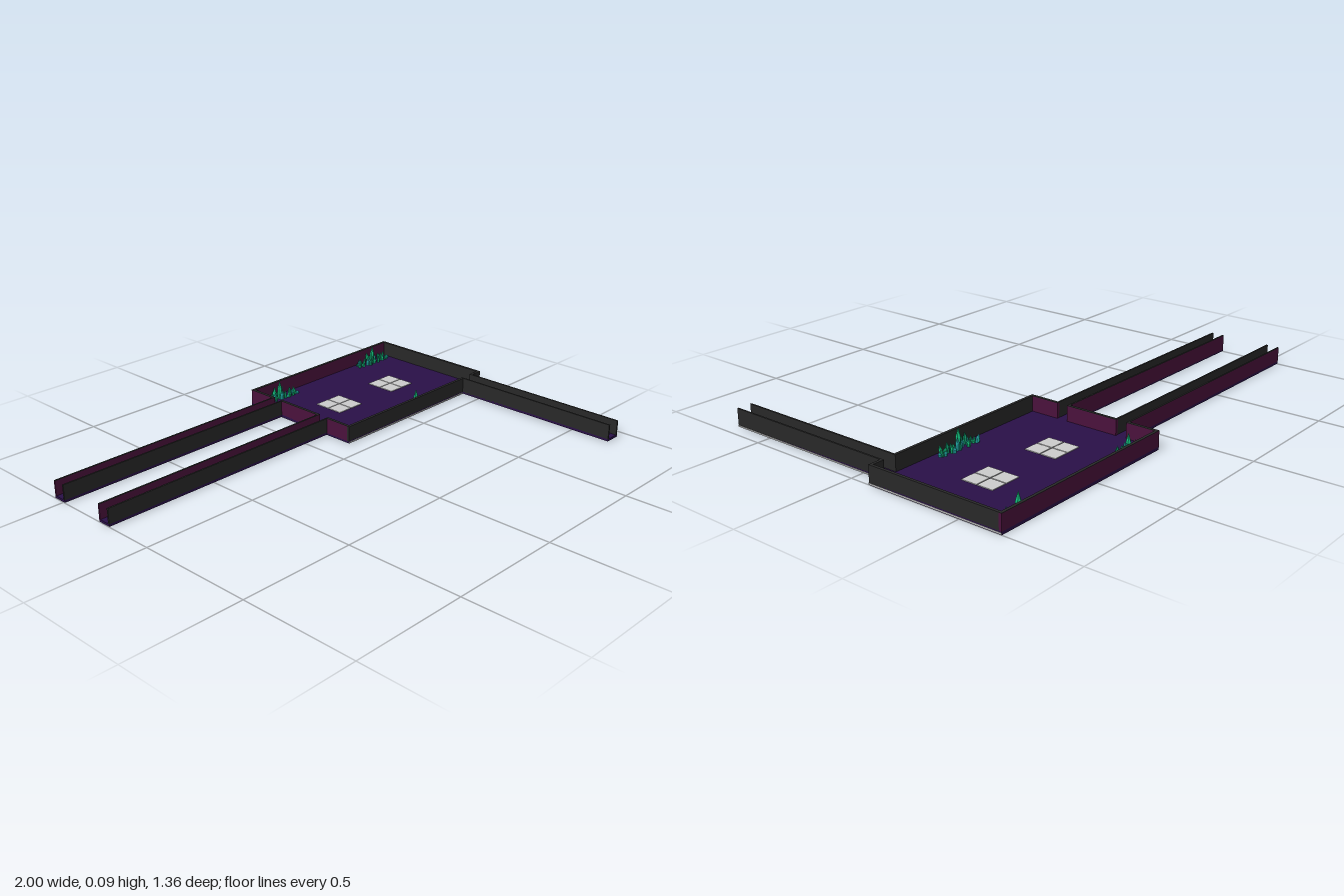
import * as THREE from 'three';

const mat = (color, extra = {}) => new THREE.MeshStandardMaterial({ color, ...extra });

export function createModel() {
  const root = new THREE.Group();
  const charcoal = mat(0x282828), plum = mat(0x4a123c), violet = mat(0x2a1048);
  const trim = mat(0xb4b4b4), grey = mat(0xcccccc);
  const H = 0.076, FLOOR = 0.012, T = 0.012;

  // box given by its extents on each axis
  function block(name, x0, x1, y0, y1, z0, z1, material, parent = root) {
    const mesh = new THREE.Mesh(new THREE.BoxGeometry(x1 - x0, y1 - y0, z1 - z0), material);
    mesh.position.set((x0 + x1) / 2, (y0 + y1) / 2, (z0 + z1) / 2);
    mesh.name = name;
    parent.add(mesh);
    return mesh;
  }
  // upright wall with a dark coping along its top
  function wall(name, x0, x1, z0, z1, material) {
    const g = new THREE.Group();
    g.name = name;
    block('wallPanel', x0, x1, 0.008, H - 0.002, z0, z1, material, g);
    block('wallCoping', x0, x1, H - 0.002, H, z0, z1, charcoal, g);
    root.add(g);
  }

  // main room
  const X0 = 0.125, X1 = 1, Z0 = -0.68, Z1 = -0.088;
  const sideHalls = [[-0.55, -0.49], [-0.275, -0.215]];
  const hall = [0.877, 0.945];
  block('roomFloor', X0, X1, 0, FLOOR, Z0, Z1, violet);
  wall('backWall', X0, X1, Z0, Z0 + T, plum);
  wall('leftWall', X1 - T, X1, Z0 + T, Z1, charcoal);
  wall('frontWall', X0, hall[0] + 0.007, Z1 - T, Z1, charcoal);
  wall('frontWallEnd', hall[1] - 0.007, X1 - T, Z1 - T, Z1, charcoal);
  // right wall is broken by the two hall doorways
  const cuts = [Z0 + T, ...sideHalls.flatMap(([a, b]) => [a + 0.007, b - 0.007]), Z1 - T];
  for (let i = 0; i < cuts.length; i += 2) wall('rightWall', X0, X0 + T, cuts[i], cuts[i + 1], plum);

  // two halls running to the right side
  for (const [a, b] of sideHalls) {
    block('sideHallFloor', -1, X0, 0.002, FLOOR, a, b, violet);
    wall('sideHallBackWall', -1, X0, a, a + 0.007, plum);
    wall('sideHallFrontWall', -1, X0, b - 0.007, b, charcoal);
  }

  // hall running to the front
  block('frontHallFloor', hall[0], hall[1], 0.002, FLOOR, Z1, 0.68, violet);
  wall('frontHallWall', hall[0], hall[0] + 0.007, Z1, 0.68, charcoal);
  wall('frontHallWall', hall[1] - 0.007, hall[1], Z1, 0.68, charcoal);

  // pale trim at the foot of the outer walls
  block('frontTrim', X0, X1, 0.002, 0.008, Z1, Z1 + 0.002, trim);
  block('leftTrim', X1 - 0.001, X1 + 0.001, 0.002, 0.008, Z0, Z1, trim);
  block('hallTrim', hall[1], hall[1] + 0.002, 0.002, 0.008, Z1, 0.68, trim);

  // floor panels, each of four tiles
  for (const cx of [0.382, 0.721]) {
    const panel = new THREE.Group();
    panel.name = 'floorPanel';
    for (const sx of [-1, 1]) for (const sz of [-1, 1]) {
      const x = cx + sx * 0.036, z = -0.39 + sz * 0.036;
      block('tile', x - 0.034, x + 0.034, FLOOR, FLOOR + 0.003, z - 0.034, z + 0.034, grey, panel);
    }
    root.add(panel);
  }

  // crystal clusters: tapered prisms with pointed tips
  let seed = 7;
  const rnd = () => (seed = (seed * 16807) % 2147483647) / 2147483647;
  const crystalMats = [0x12b878, 0x0f9468, 0x25b8b4].map(c => mat(c, { flatShading: true }));
  const crystalGeo = new THREE.LatheGeometry(
    [[0, 0], [0.8, 0], [1, 0.55], [0, 1]].map(([r, y]) => new THREE.Vector2(r, y)), 6);
  const clusters = [[0.25, -0.632, 0.1], [0.868, -0.637, 0.095], [0.595, -0.128, 0.1]];
  for (const [cx, cz, half] of clusters) {
    const cluster = new THREE.Group();
    cluster.name = 'crystalCluster';
    const count = 30;
    for (let i = 0; i < count; i++) {
      const u = (i + rnd()) / count * 2 - 1;
      const h = (i % 5 === 2 ? 0.06 : 0.025 + 0.02 * rnd()) * (1 - 0.45 * Math.abs(u));
      const r = 0.005 + 0.004 * rnd();
      const crystal = new THREE.Mesh(crystalGeo, crystalMats[i % 3]);
      crystal.name = 'crystal';
      crystal.scale.set(r, h, r);
      crystal.position.set(cx + u * half, FLOOR - 0.001, cz + (rnd() - 0.5) * 0.036);
      crystal.rotation.set((rnd() - 0.5) * 0.4, rnd() * 3, (rnd() - 0.5) * 0.4);
      cluster.add(crystal);
    }
    // one tall crystal at the middle
    const tall = new THREE.Mesh(crystalGeo, crystalMats[0]);
    tall.name = 'tallCrystal';
    tall.scale.set(0.011, 0.082, 0.011);
    tall.position.set(cx, FLOOR, cz);
    cluster.add(tall);
    root.add(cluster);
  }
  return root;
}
